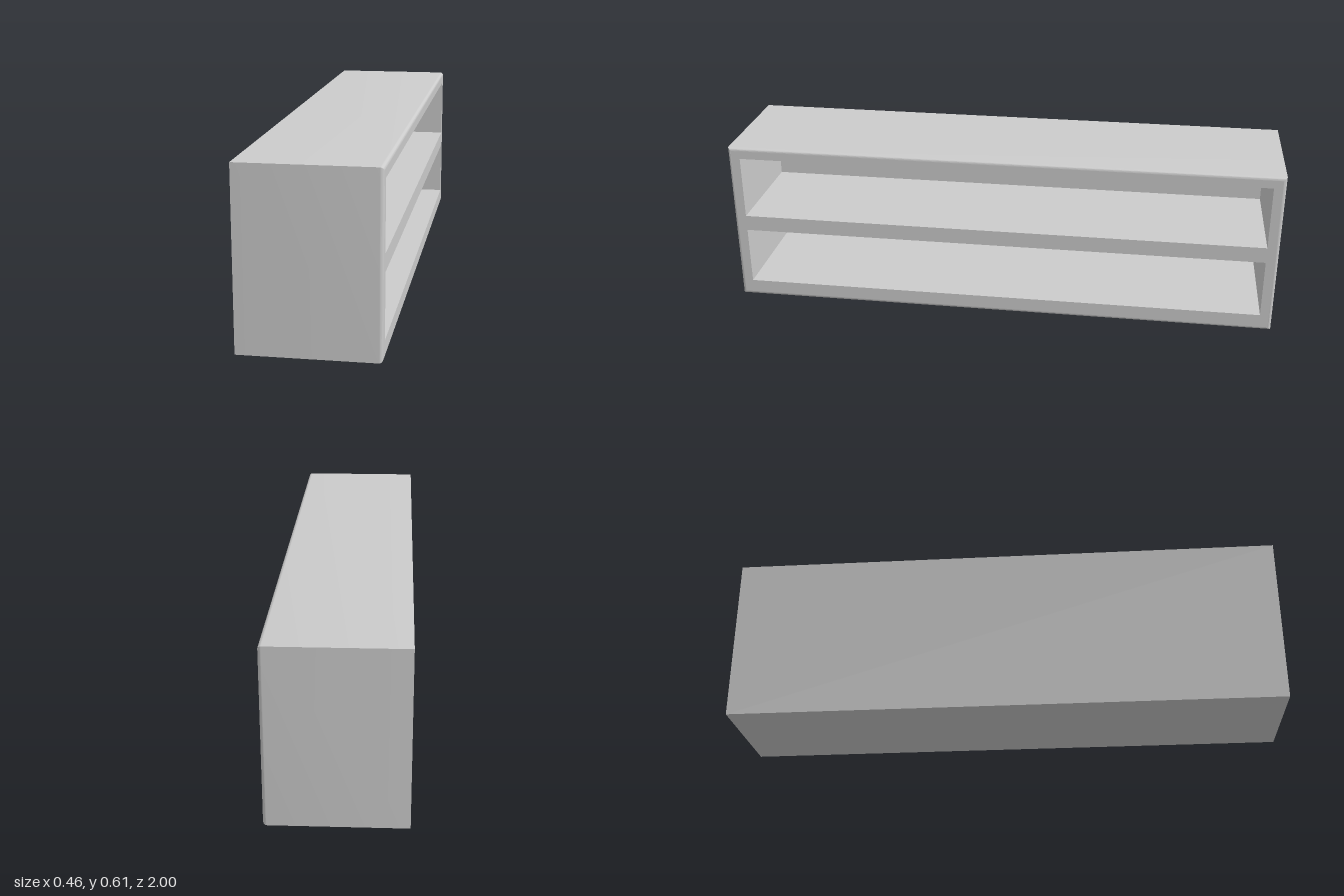
import * as THREE from 'three';
import { toCreasedNormals } from 'three/addons/utils/BufferGeometryUtils.js';

const BACK = -0.23, FRONT = 0.23, HEIGHT = 0.605, HALF = 1, ROUND = 0.012;
const INNER_BACK = -0.19, INNER_HALF = 0.957;
const OPENINGS = { lower: [0.06, 0.275], upper: [0.333, 0.564] };

// Rectangular sections along x, each { x, y0, y1, h } with half length h in z
function loft(sections, capStart, capEnd) {
  const rings = sections.map(({ x, y0, y1, h }) =>
    [[x, y0, h], [x, y0, -h], [x, y1, -h], [x, y1, h]]);
  const pos = [];
  const quad = (a, b, c, d) => pos.push(...a, ...b, ...c, ...a, ...c, ...d);
  for (let r = 0; r < rings.length - 1; r++) {
    const a = rings[r], b = rings[r + 1];
    for (let i = 0; i < 4; i++) {
      const j = (i + 1) % 4;
      quad(a[i], a[j], b[j], b[i]);
    }
  }
  if (capStart) quad(...[...rings[0]].reverse());
  if (capEnd) quad(...rings[rings.length - 1]);
  const geo = new THREE.BufferGeometry();
  geo.setAttribute('position', new THREE.Float32BufferAttribute(pos, 3));
  return toCreasedNormals(geo, 0.5);
}

const rectangle = (path, h, y0, y1) =>
  path.moveTo(-h, y0).lineTo(h, y0).lineTo(h, y1).lineTo(-h, y1).closePath();

export function createModel() {
  const group = new THREE.Group();
  group.name = 'cabinet';
  const material = new THREE.MeshStandardMaterial({ color: 0xcccccc });
  const add = (name, geometry) => {
    const mesh = new THREE.Mesh(geometry, material);
    mesh.name = name;
    group.add(mesh);
  };

  // Outer case with rounded front edges
  const sections = [{ x: BACK, y0: 0, y1: HEIGHT, h: HALF }];
  for (let i = 0; i <= 6; i++) {
    const a = (i / 6) * Math.PI / 2;
    const inset = ROUND * (1 - Math.cos(a));
    sections.push({
      x: FRONT - ROUND + ROUND * Math.sin(a),
      y0: inset, y1: HEIGHT - inset, h: HALF - inset,
    });
  }
  add('outerCase', loft(sections, true, false));

  // Front frame with two openings
  const frame = new THREE.Shape();
  rectangle(frame, HALF - ROUND, ROUND, HEIGHT - ROUND);
  for (const [y0, y1] of Object.values(OPENINGS)) {
    const hole = new THREE.Path();
    rectangle(hole, INNER_HALF, y0, y1);
    frame.holes.push(hole);
  }
  add('frontFrame', new THREE.ShapeGeometry(frame).rotateY(Math.PI / 2).translate(FRONT, 0, 0));

  // Shelf compartments
  for (const [name, [y0, y1]] of Object.entries(OPENINGS)) {
    const section = { y0, y1, h: INNER_HALF };
    add(name + 'Compartment',
      loft([{ x: FRONT, ...section }, { x: INNER_BACK, ...section }], false, true));
  }
  return group;
}
